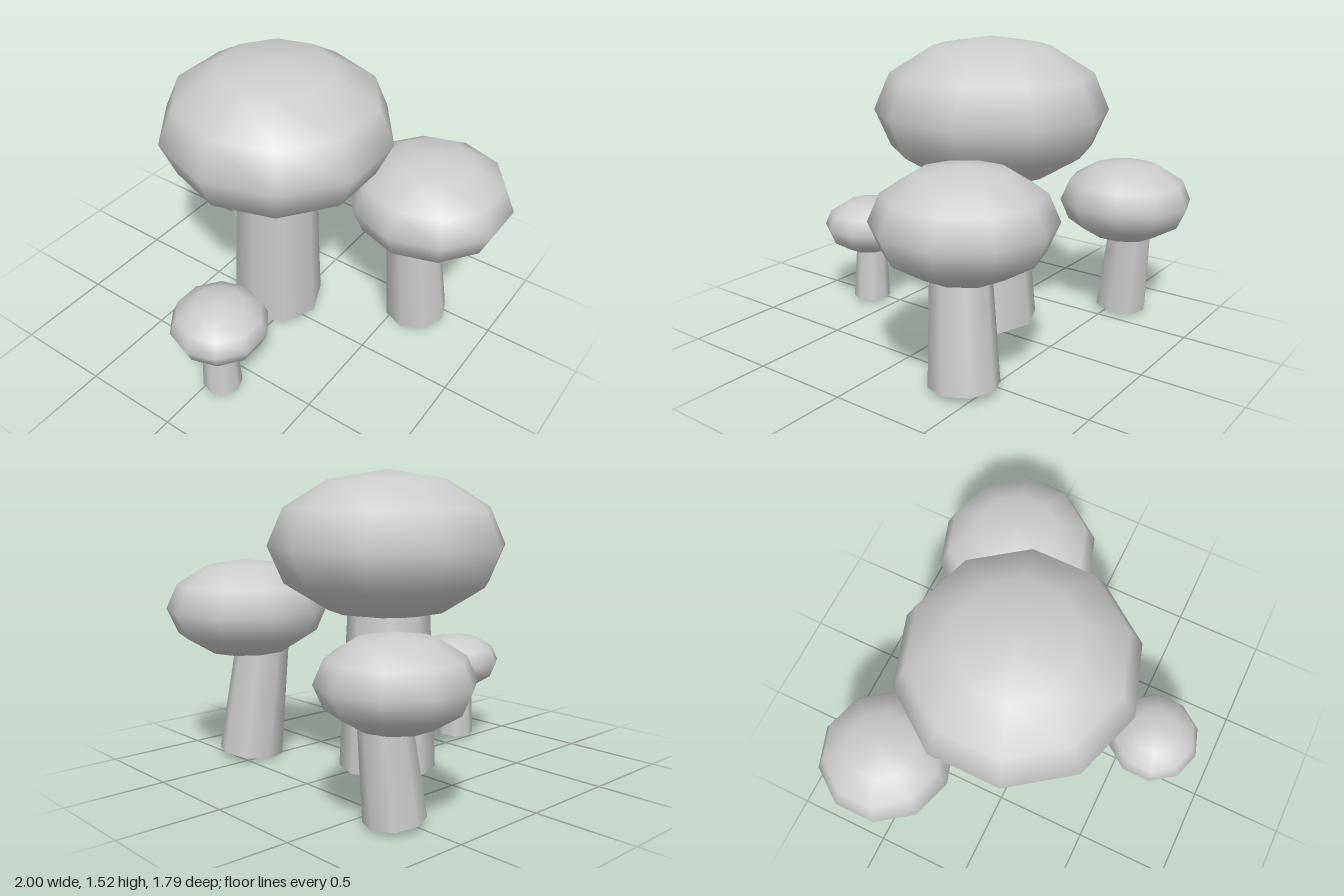
import * as THREE from 'three';

// cap: centre, radius, height radius; stem: base and top centres with radii
const MUSHROOMS = [
  { name: 'tallMushroom', cap: [-0.105, 1.15, -0.055], r: 0.595, h: 0.37,
    base: [-0.105, 0.022, -0.06], top: [-0.08, 0.82, -0.025], rb: 0.245, rt: 0.205 },
  { name: 'leftMushroom', cap: [0.6, 0.802, -0.41], r: 0.42, h: 0.258,
    base: [0.598, 0.022, -0.408], top: [0.555, 0.57, -0.357], rb: 0.168, rt: 0.14 },
  { name: 'rightMushroom', cap: [-0.667, 0.627, -0.547], r: 0.35, h: 0.215,
    base: [-0.665, 0.027, -0.55], top: [-0.648, 0.42, -0.588], rb: 0.14, rt: 0.118 },
  { name: 'smallMushroom', cap: [0.07, 0.449, 0.65], r: 0.245, h: 0.151,
    base: [0.067, 0.025, 0.65], top: [0.058, 0.31, 0.648], rb: 0.1, rt: 0.083 },
];

export function createModel() {
  const model = new THREE.Group();
  model.name = 'mushroomCluster';
  const grey = new THREE.MeshStandardMaterial({ color: 0xcccccc, side: THREE.DoubleSide });
  grey.name = 'plainGrey';

  // ten-sided sphere with corners on the z axis, shared by all caps
  const capGeometry = new THREE.SphereGeometry(1, 10, 6).rotateY(Math.PI / 2);

  for (const m of MUSHROOMS) {
    const mushroom = new THREE.Group();
    mushroom.name = m.name;

    // flattened cap
    const cap = new THREE.Mesh(capGeometry, grey);
    cap.name = 'cap';
    cap.position.set(...m.cap);
    cap.scale.set(m.r, m.h, m.r);

    // leaning, tapered, open stem that runs a little way into the cap
    const base = new THREE.Vector3(...m.base);
    const axis = new THREE.Vector3(...m.top).sub(base).multiplyScalar(1.08);
    const length = axis.length();
    const stem = new THREE.Mesh(
      new THREE.CylinderGeometry(m.rt, m.rb, length, 8, 1, true), grey);
    stem.name = 'stem';
    stem.position.copy(base).addScaledVector(axis, 0.5);
    stem.quaternion.setFromUnitVectors(new THREE.Vector3(0, 1, 0), axis.normalize());

    mushroom.add(cap, stem);
    model.add(mushroom);
  }
  return model;
}
